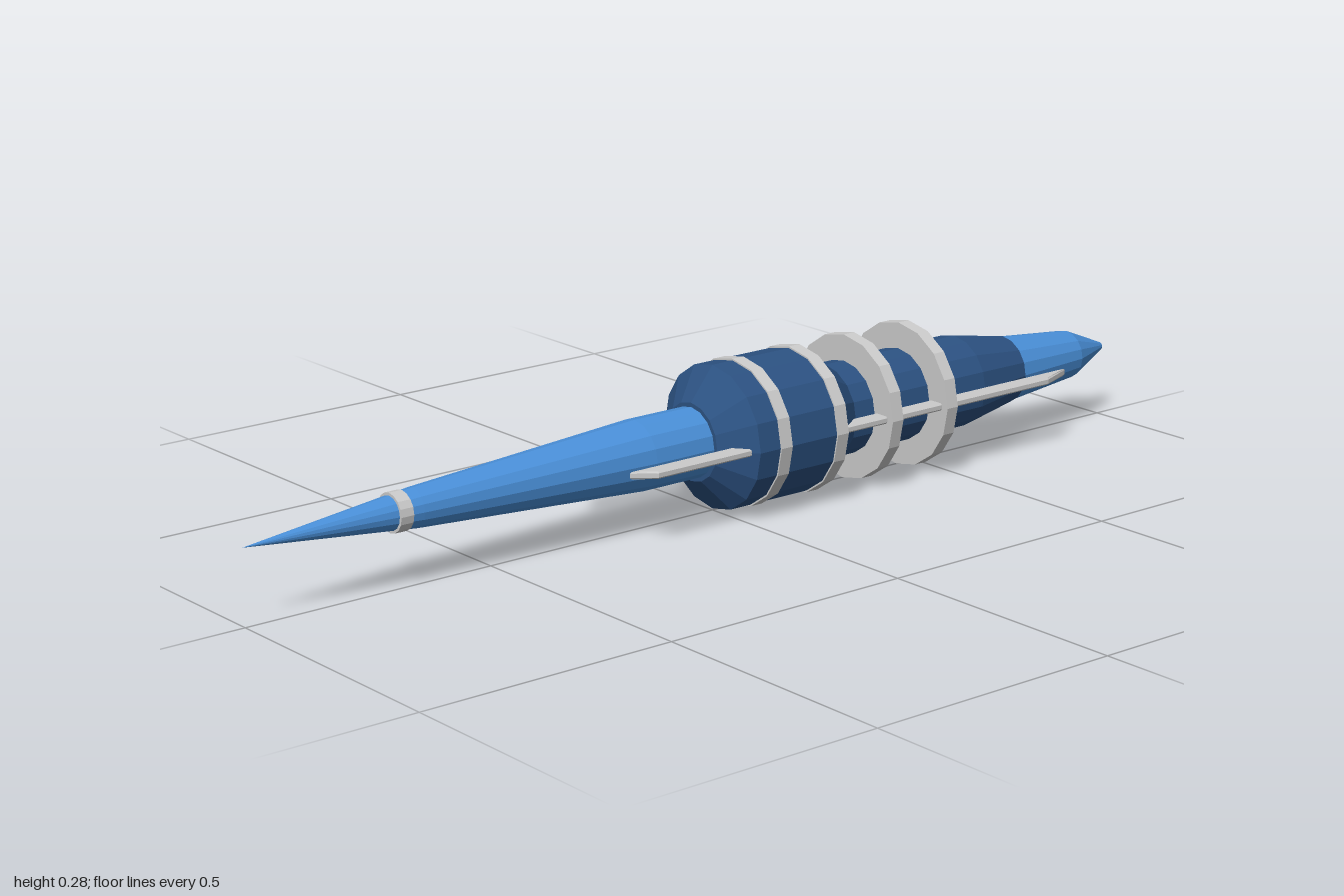
import * as THREE from 'three';

const SIDES = 16;
const AXIS_Y = 0.14;

const paint = (color) => new THREE.MeshStandardMaterial({ color, flatShading: true });

// Turned part along z; profile is [z, radius] from back to front
function turned(name, profile, material) {
  const points = profile.map(([z, r]) => new THREE.Vector2(r, z));
  const geometry = new THREE.LatheGeometry(points, SIDES).rotateX(Math.PI / 2);
  const mesh = new THREE.Mesh(geometry, material);
  mesh.name = name;
  mesh.position.y = AXIS_Y;
  return mesh;
}

// Flat disc band around the axis
function band(name, z, radius, width, material) {
  const h = width / 2;
  return turned(name, [[z - h, 0], [z - h, radius], [z + h, radius], [z + h, 0]], material);
}

// Long side rail with slanted ends and chamfered edges
function railGeometry(side) {
  const bevel = 0.003;
  const outline = [[0.094, 0.26], [0.12, 0.222], [0.12, -0.735], [0.094, -0.805]];
  const shape = new THREE.Shape(outline.map(([x, z]) => new THREE.Vector2(side * x, z)));
  const geometry = new THREE.ExtrudeGeometry(shape, {
    depth: 0.008, bevelEnabled: true, bevelSize: bevel, bevelThickness: bevel, bevelSegments: 1,
  });
  return geometry.translate(0, 0, -0.004).rotateX(Math.PI / 2);
}

export function createModel() {
  const model = new THREE.Group();
  const light = paint(0x4a90d9);
  const dark = paint(0x2c5282);
  const grey = paint(0xcccccc);

  // Long needle nose and short tail cone
  model.add(turned('nose', [[-0.02, 0], [-0.02, 0.066], [0.18, 0.066], [0.66, 0.036], [1, 0]], light));
  model.add(turned('tail', [[-1, 0], [-1, 0.008], [-0.905, 0.047], [-0.73, 0.064], [-0.7, 0.064], [-0.7, 0]], light));

  // Main hull with wide collar, waist and rear taper
  model.add(turned('hull', [
    [-0.73, 0], [-0.73, 0.066], [-0.6, 0.089], [-0.27, 0.089], [-0.2, 0.136],
    [0, 0.136], [0.05, 0.074], [0.05, 0],
  ], dark));

  // Rings around hull and nose
  for (const z of [-0.06, -0.195, -0.33, -0.468]) {
    model.add(band('hullRing', z, 0.139, 0.026, grey));
  }
  model.add(band('noseRing', 0.695, 0.036, 0.026, grey));

  // Mirrored side rails
  for (const side of [1, -1]) {
    const rail = new THREE.Mesh(railGeometry(side), grey);
    rail.name = side > 0 ? 'leftRail' : 'rightRail';
    rail.position.y = AXIS_Y;
    model.add(rail);
  }
  return model;
}
